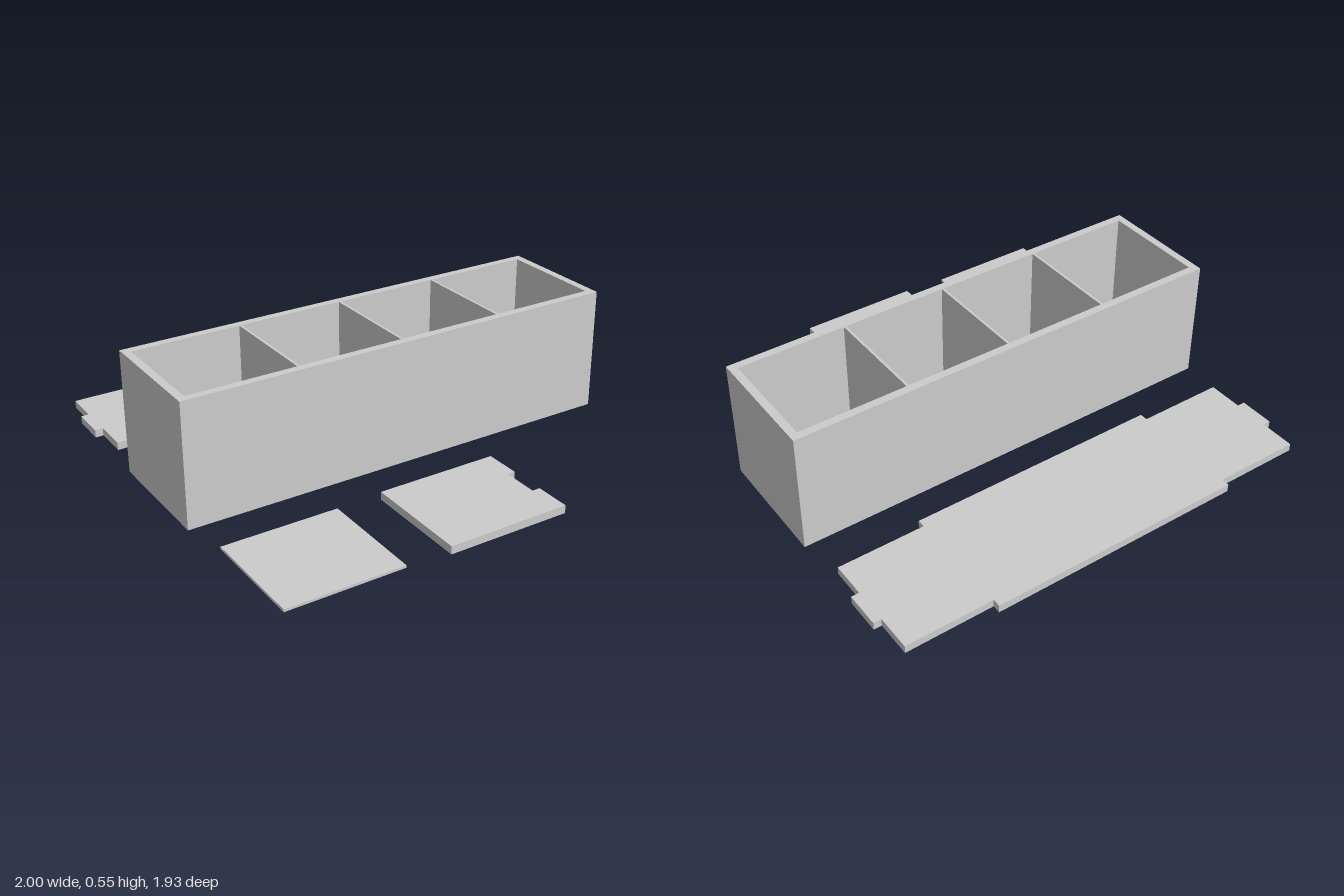
import * as THREE from 'three';

const T = 0.035;      // panel thickness
const THIN = 0.011;   // divider thickness
const H = 0.545;      // box height
const material = new THREE.MeshStandardMaterial({ color: 0xcccccc, flatShading: true });

function add(group, name, geometry) {
  const mesh = new THREE.Mesh(geometry, material);
  mesh.name = name;
  group.add(mesh);
  return mesh;
}

// Box given by its minimum and maximum corners
function block(group, name, [x0, y0, z0], [x1, y1, z1]) {
  const mesh = add(group, name, new THREE.BoxGeometry(x1 - x0, y1 - y0, z1 - z0));
  mesh.position.set((x0 + x1) / 2, (y0 + y1) / 2, (z0 + z1) / 2);
}

// Extrudes an outline upward; points are [x, z], holes wind the opposite way
function plate(group, name, outline, height, holes = []) {
  const toPoints = (pts) => pts.map(([x, z]) => new THREE.Vector2(x, -z));
  const shape = new THREE.Shape(toPoints(outline));
  for (const hole of holes) shape.holes.push(new THREE.Path(toPoints(hole).reverse()));
  const geometry = new THREE.ExtrudeGeometry(shape, { depth: height, bevelEnabled: false });
  geometry.rotateX(-Math.PI / 2);
  add(group, name, geometry);
}

const rect = (x0, z0, x1, z1) => [[x0, z0], [x1, z0], [x1, z1], [x0, z1]];

export function createModel() {
  const model = new THREE.Group();
  model.name = 'compartmentBoxKit';

  // Open box: floor, wall ring and three dividers
  const box = new THREE.Group();
  box.name = 'compartmentBox';
  model.add(box);
  const back = -0.257, front = 0.288;
  const inX = 1 - T, inBack = back + T, inFront = front - T;
  plate(box, 'walls', rect(-1, back, 1, front), H, [rect(-inX, inBack, inX, inFront)]);
  block(box, 'floor', [-inX, 0, inBack], [inX, T, inFront]);
  for (let i = -1; i <= 1; i++) {
    const x = i * 0.48;
    block(box, 'divider', [x - THIN / 2, T, inBack], [x + THIN / 2, H, inFront]);
  }

  // Loose long panel with tabs on every edge, one quarter mirrored around
  const cz = -0.693;
  const quarter = [[1, 0.079], [0.965, 0.079], [0.965, 0.237], [0.575, 0.237], [0.575, 0.273]];
  const half = [...quarter, ...quarter.map(([x, z]) => [-x, z]).reverse()];
  const outline = [...half, ...half.map(([x, z]) => [x, -z]).reverse()];
  plate(model, 'longPanel', outline.map(([x, z]) => [x, z + cz]), T);

  // Loose end panel with a notch in its left edge
  plate(model, 'endPanel', [
    [-0.257, 0.492], [0.288, 0.492], [0.288, 0.651], [0.253, 0.651],
    [0.253, 0.808], [0.288, 0.808], [0.288, 0.966], [-0.257, 0.966],
  ], T);

  // Loose thin divider
  block(model, 'looseDivider', [-0.966, 0.0135, 0.492], [-0.458, 0.0135 + THIN, 0.966]);

  return model;
}
